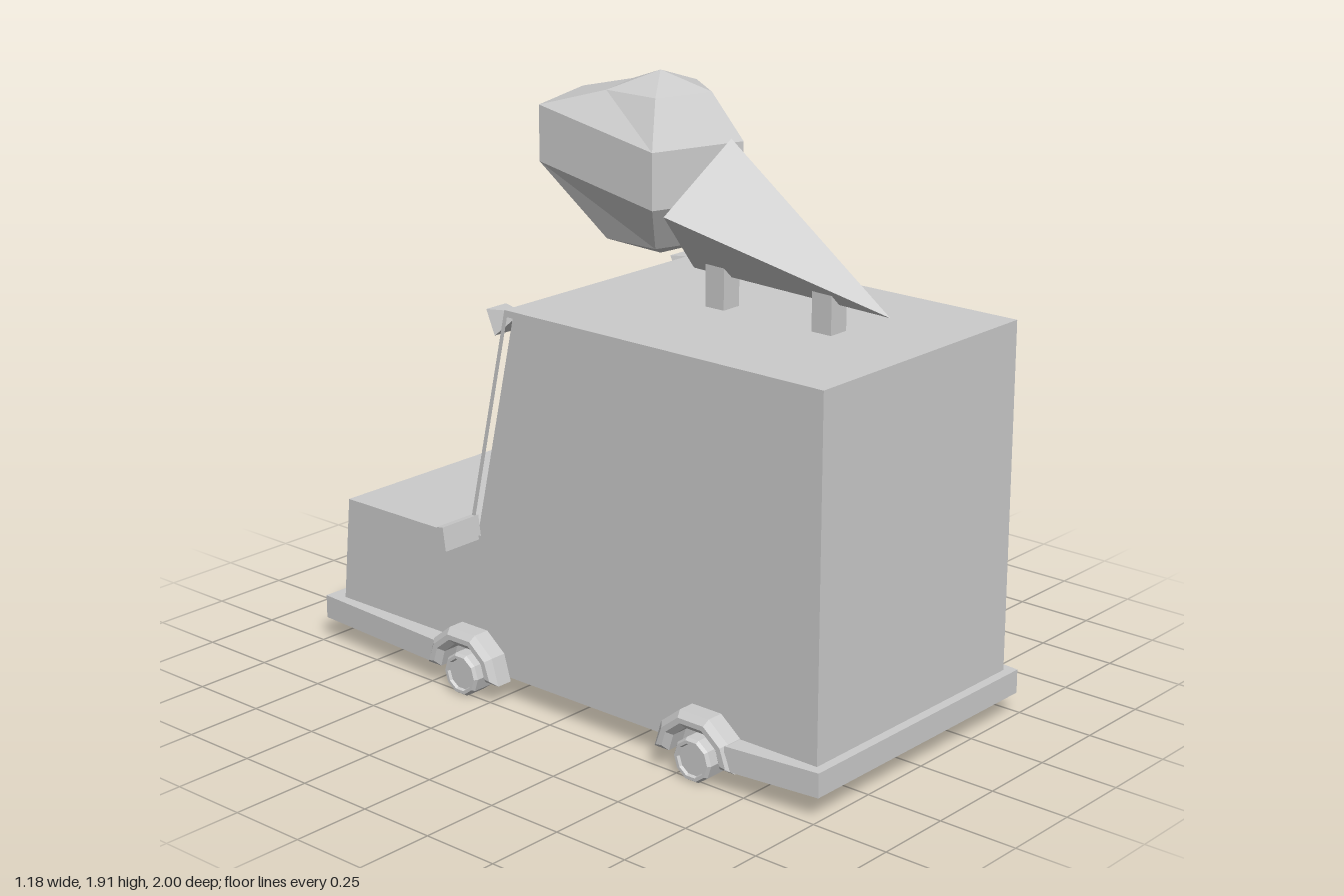
import * as THREE from 'three';

const mat = new THREE.MeshStandardMaterial({ color: 0xcccccc, flatShading: true });

function add(parent, name, geo, x = 0, y = 0, z = 0) {
  const m = new THREE.Mesh(geo, mat);
  m.name = name;
  m.position.set(x, y, z);
  parent.add(m);
  return m;
}

// Points are [z, y]; the outline is extruded along +x starting at x = 0.
const path = (pts) => pts.map(([z, y]) => new THREE.Vector2(-z, y));
function sideExtrude(pts, depth, holes = [], bevel = 0) {
  const s = new THREE.Shape(path(pts));
  holes.forEach((h) => s.holes.push(new THREE.Path(path(h))));
  const g = new THREE.ExtrudeGeometry(s, {
    depth: depth - 2 * bevel, bevelEnabled: bevel > 0, bevelSize: bevel,
    bevelThickness: bevel, bevelOffset: -bevel, bevelSegments: 1,
  });
  g.translate(0, 0, bevel);
  return g.rotateY(Math.PI / 2);
}

// Points are [x, z]; the outline is extruded downward from y = 0.
function planExtrude(pts, depth) {
  const s = new THREE.Shape(pts.map(([x, z]) => new THREE.Vector2(x, z)));
  return new THREE.ExtrudeGeometry(s, { depth, bevelEnabled: false }).rotateX(Math.PI / 2);
}

export function createModel() {
  const truck = new THREE.Group();
  truck.name = 'iceCreamTruck';

  // Body core with recessed windscreen, then side skins with openings
  const profile = (inset) => [
    [0.97, 0.08], [0.97, 1.24], [-0.21 + inset, 1.24], [-0.38 + inset, 0.49],
    [-0.91, 0.49], [-0.95, 0.08],
  ];
  add(truck, 'bodyCore', sideExtrude(profile(0.02), 0.86), -0.43);

  const door = [[0.095, 1.22], [-0.2, 1.22], [-0.36, 0.51], [-0.01, 0.51]];
  const hatch = [
    [[0.71, 0.7], [0.725, 1.0], [0.43, 1.0], [0.43, 0.7]],
    [[0.415, 0.7], [0.415, 1.0], [0.28, 1.0], [0.275, 0.7]],
    [[0.705, 0.51], [0.71, 0.68], [0.275, 0.68], [0.265, 0.51]],
  ];
  add(truck, 'rightSide', sideExtrude(profile(0), 0.02, [door, ...hatch]), 0.43).name = 'leftSide';
  add(truck, 'rightSide', sideExtrude(profile(0), 0.02, [door]), -0.45);

  // Windscreen frame bars
  const slant = (y) => -0.21 - (1.24 - y) * 0.2267;
  for (const [name, y0, y1] of [['windscreenTop', 1.215, 1.24], ['windscreenSill', 0.49, 0.51]]) {
    const bar = [[slant(y0), y0], [slant(y0) + 0.03, y0], [slant(y1) + 0.03, y1], [slant(y1), y1]];
    add(truck, name, sideExtrude(bar, 0.86), -0.43);
  }

  // Front and rear bumper skirts
  add(truck, 'frontBumper', planExtrude(
    [[-0.48, -1], [0.48, -1], [0.512, -0.48], [-0.512, -0.48]], 0.075), 0, 0.15);
  add(truck, 'rearBumper', planExtrude(
    [[-0.515, 0.69], [0.515, 0.69], [0.48, 1], [-0.48, 1]], 0.075), 0, 0.15);

  // Wheels, hubs and faceted wheel arches
  const arc = [0, 34, 69, 111, 146, 180].map((a) => a * Math.PI / 180);
  const ring = (r) => arc.map((a) => [r * Math.cos(a), r * Math.sin(a)]);
  const archGeo = sideExtrude([...ring(0.15), ...ring(0.095).reverse()], 0.09, [], 0.018);
  const tyre = [[0, -0.045], [0.06, -0.045], [0.069, -0.035], [0.069, 0.035],
    [0.062, 0.045], [0.052, 0.045], [0.048, 0.036], [0, 0.036]];
  const wheelGeo = new THREE.LatheGeometry(tyre.map((p) => new THREE.Vector2(...p)), 10);
  for (const z of [0.57, -0.36]) {
    for (const s of [1, -1]) {
      add(truck, 'wheelArch', archGeo, s > 0 ? 0.432 : -0.522, 0.068, z);
      const w = add(truck, 'wheel', wheelGeo, s * 0.475, 0.069, z);
      w.rotation.z = -s * Math.PI / 2;
    }
  }

  // Mirrors and roof lamps
  const lampGeo = new THREE.CylinderGeometry(0.012, 0.058, 0.08, 4).rotateY(Math.PI / 4);
  for (const s of [1, -1]) {
    const mirror = add(truck, 'mirror', new THREE.BoxGeometry(0.15, 0.075, 0.025), s * 0.515, 0.532, -0.352);
    mirror.rotation.x = -0.15;
    add(truck, 'roofLamp', lampGeo, s * 0.41, 1.208, -0.23).rotation.x = 1.16;
  }

  // Scalloped awning over the serving hatch
  const edge = [[0, 0.27]];
  const teeth = 5;
  for (let i = 0; i <= teeth * 2; i++) {
    edge.push([i % 2 ? 0.082 : 0.103, 0.27 + 0.455 * i / (teeth * 2)]);
  }
  edge.push([0, 0.725]);
  add(truck, 'awning', planExtrude(edge, 0.02), 0.443, 1.03).rotation.z = -0.5;

  // Roof sign: posts, four-sided cone and a lopsided scoop
  add(truck, 'signPostRear', new THREE.BoxGeometry(0.07, 0.14, 0.07), 0, 1.3, 0.635);
  add(truck, 'signPostFront', new THREE.BoxGeometry(0.07, 0.18, 0.07), 0, 1.32, 0.24);
  const cone = add(truck, 'cone', new THREE.ConeGeometry(0.215, 0.686, 4), 0, 1.43, 0.525);
  cone.rotation.x = 1.9;

  const scoop = new THREE.SphereGeometry(0.275, 5, 5).rotateY(Math.PI);
  const p = scoop.attributes.position;
  for (let i = 0; i < p.count; i++) {
    if (Math.abs(p.getY(i)) < 0.12 && p.getZ(i) < -0.1) {
      p.setY(i, p.getY(i) + 0.08);
      p.setZ(i, p.getZ(i) - 0.135);
    }
  }
  scoop.computeVertexNormals();
  add(truck, 'scoop', scoop, 0, 1.635, 0);

  return truck;
}
